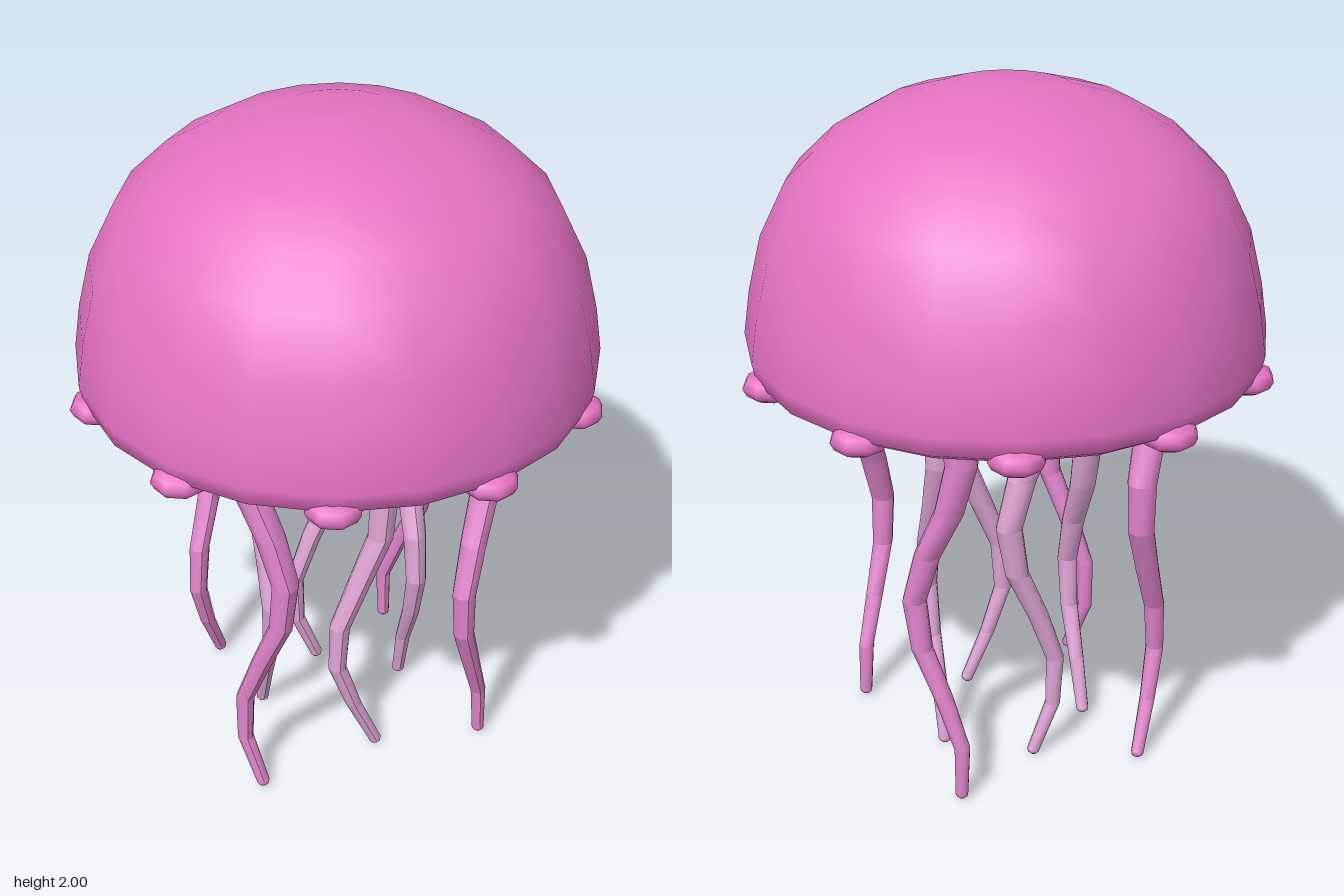
import * as THREE from 'three';
import { mergeGeometries } from 'three/addons/utils/BufferGeometryUtils.js';

const material = (name, color) => {
  const m = new THREE.MeshStandardMaterial({ color });
  m.name = name;
  return m;
};

const BOTTOM = 0.018, TOP = 1.235, SEGMENTS = 8, WAVE = 1.0;

// Tapered chain of segments swaying along (dx, dz); crest is the height of the furthest sway
function tentacleGeometry(x, z, dx, dz, amplitude, crest) {
  const step = (TOP - BOTTOM) / SEGMENTS;
  const radius = (y) => 0.019 + 0.033 * (y / TOP);
  const swayAt = (y) => amplitude * Math.cos((2 * Math.PI * (y - crest)) / WAVE);
  const parts = [];
  for (let i = 0; i < SEGMENTS; i++) {
    const low = BOTTOM + i * step, high = low + step;
    const g = new THREE.CylinderGeometry(radius(high), radius(low), step, 8, 1, true);
    g.translate(0, low + step / 2, 0);
    const p = g.attributes.position;
    for (let v = 0; v < p.count; v++) {
      const sway = swayAt(p.getY(v));
      p.setX(v, p.getX(v) + x + dx * sway);
      p.setZ(v, p.getZ(v) + z + dz * sway);
    }
    g.computeVertexNormals();
    parts.push(g);
  }
  // Rounded ends
  for (const [y, height] of [[BOTTOM, BOTTOM], [TOP, 0.025]]) {
    const end = new THREE.SphereGeometry(1, 8, 6);
    end.scale(radius(y), height, radius(y));
    end.translate(x + dx * swayAt(y), y, z + dz * swayAt(y));
    parts.push(end);
  }
  return mergeGeometries(parts);
}

const lathe = (points) =>
  new THREE.LatheGeometry(points.map(([r, y]) => new THREE.Vector2(r, y)), 20);

export function createModel() {
  const group = new THREE.Group();
  const bellPink = material('bell pink', 0xe673c3);
  const outerPink = material('outer tentacle pink', 0xe286cc);
  const innerPink = material('inner tentacle pale pink', 0xe0a5d5);
  const add = (name, geometry, mat) => {
    const mesh = new THREE.Mesh(geometry, mat);
    mesh.name = name;
    group.add(mesh);
    return mesh;
  };

  // Bell with a slightly tucked rim
  add('bell', lathe([
    [0.685, 1.21], [0.725, 1.235], [0.737, 1.29], [0.718, 1.42], [0.68, 1.58], [0.603, 1.74],
    [0.497, 1.846], [0.36, 1.93], [0.19, 1.987], [0, 2.0],
  ]), bellPink);

  // Domed hollow underneath
  add('underside', lathe([
    [0, 1.43], [0.2, 1.42], [0.38, 1.39], [0.54, 1.335], [0.64, 1.27], [0.685, 1.21],
  ]), bellPink);

  // Flattened knobs around the rim
  const knob = new THREE.SphereGeometry(0.08, 8, 6);
  knob.scale(1, 0.54, 1);
  for (let i = 0; i < 10; i++) {
    const a = (i * Math.PI) / 5;
    add('rimKnob', knob, bellPink).position.set(0.687 * Math.cos(a), 1.223, 0.687 * Math.sin(a));
  }

  // Outer tentacles on the diagonals, swaying around the ring
  for (const [sx, sz, crest] of [[1, 1, 0.07], [1, -1, 0.6], [-1, 1, 0.74], [-1, -1, 0.86]]) {
    add('outerTentacle', tentacleGeometry(0.318 * sx, 0.318 * sz, 1, -sx * sz, 0.054, crest), outerPink);
  }

  // Inner tentacles on the axes, swaying around the ring
  for (const [x, z, dx, dz, crest] of [
    [0, 0.225, 1, 0, 0.88], [0, -0.225, 1, 0, 0.76],
    [0.225, 0, 0, -1, 1.0], [-0.225, 0, 0, -1, 0.94],
  ]) {
    add('innerTentacle', tentacleGeometry(x, z, dx, dz, 0.075, crest), innerPink);
  }

  return group;
}
